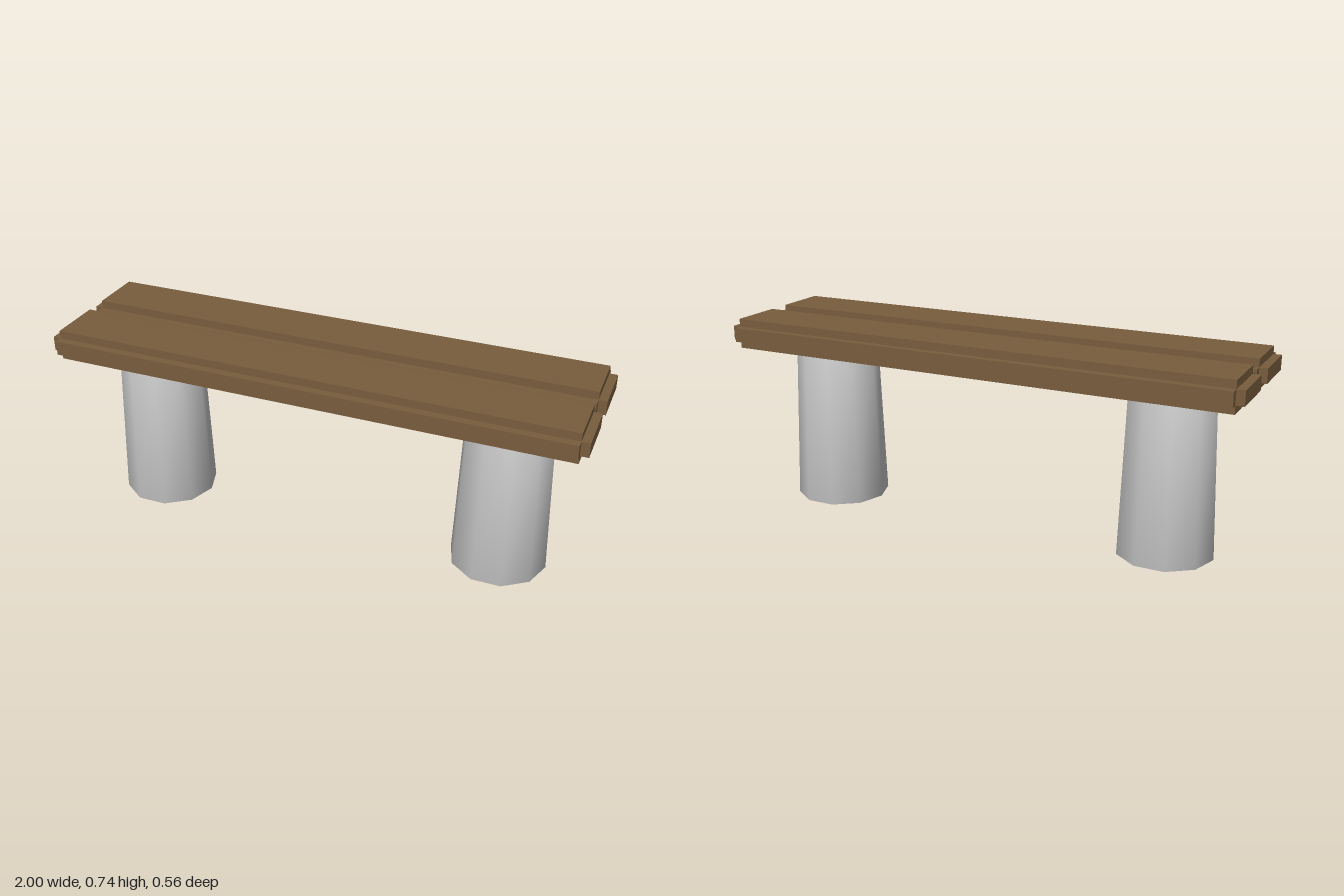
import * as THREE from 'three';
import { mergeVertices } from 'three/addons/utils/BufferGeometryUtils.js';

const wood = new THREE.MeshStandardMaterial({ color: 0x785d3d });
const stone = new THREE.MeshStandardMaterial({ color: 0xcccccc });

// Plank with stepped edges: three crossing slabs, each full size in two axes
function createPlank(name) {
  const plank = new THREE.Group();
  plank.name = name;
  const slabs = {
    plankCore: [1.94, 0.114, 0.204],
    plankEnds: [2, 0.054, 0.204],
    plankSides: [1.94, 0.054, 0.265],
  };
  for (const [part, size] of Object.entries(slabs)) {
    const slab = new THREE.Mesh(new THREE.BoxGeometry(...size), wood);
    slab.name = part;
    plank.add(slab);
  }
  return plank;
}

// Ten-sided tapered pillar, shaded smoothly across its caps
function createLegGeometry() {
  const height = 0.643;
  const cylinder = new THREE.CylinderGeometry(0.158, 0.181, height, 10);
  cylinder.rotateY(Math.PI / 2).translate(0, height / 2, 0);
  cylinder.deleteAttribute('uv');
  cylinder.deleteAttribute('normal');
  const geometry = mergeVertices(cylinder, 1e-4);
  geometry.computeVertexNormals();
  return geometry;
}

export function createModel() {
  const bench = new THREE.Group();
  bench.name = 'bench';
  const legGeometry = createLegGeometry();

  for (const side of [1, -1]) {
    // Seat planks, front and back
    const plank = createPlank(side > 0 ? 'frontPlank' : 'backPlank');
    plank.position.set(0, 0.68, side * 0.1455);
    bench.add(plank);

    // Legs, left and right
    const leg = new THREE.Mesh(legGeometry, stone);
    leg.name = side > 0 ? 'leftLeg' : 'rightLeg';
    leg.position.x = side * 0.69;
    bench.add(leg);
  }
  return bench;
}
